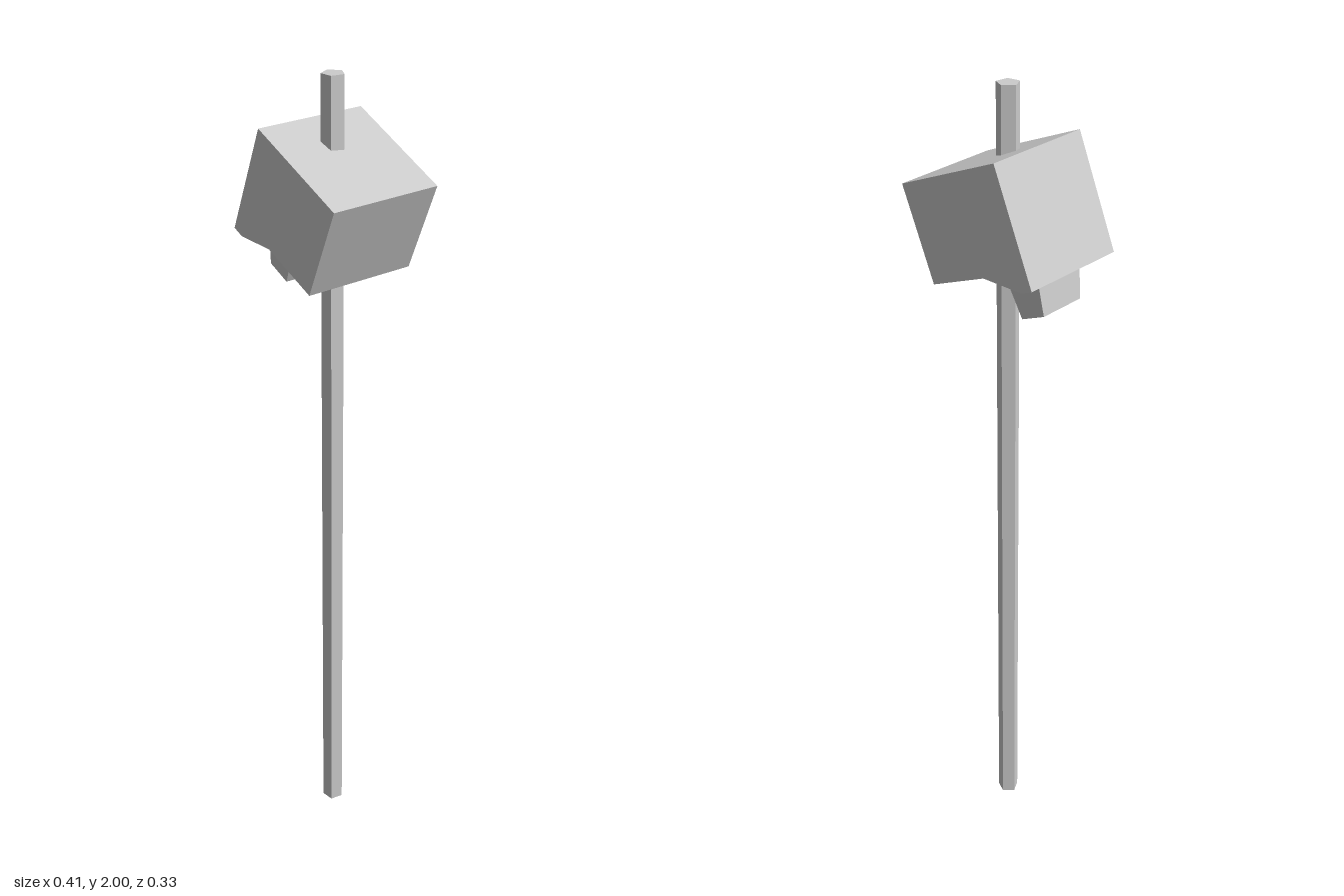
import * as THREE from 'three';

const material = new THREE.MeshStandardMaterial({ color: 0xcccccc, flatShading: true });

// Extrudes a side profile evenly about z = 0
function extrudeProfile(points, depth) {
  const shape = new THREE.Shape(points.map(([x, y]) => new THREE.Vector2(x, y)));
  const geometry = new THREE.ExtrudeGeometry(shape, { depth, bevelEnabled: false });
  return geometry.translate(0, 0, -depth / 2);
}

function addMesh(parent, name, geometry) {
  const mesh = new THREE.Mesh(geometry, material);
  mesh.name = name;
  parent.add(mesh);
  return mesh;
}

export function createModel() {
  const model = new THREE.Group();
  model.name = 'headOnPole';

  // Five-sided pole, one edge pointing to the back
  const pole = addMesh(model, 'pole', new THREE.CylinderGeometry(0.027, 0.027, 2, 5));
  pole.rotation.y = Math.PI;
  pole.position.set(0.004, 1, 0.004);

  // Tilted head, with its origin on the upper brow edge
  const head = new THREE.Group();
  head.name = 'head';
  head.position.set(-0.0815, 1.884, -0.0015 - 0.011);
  head.rotation.order = 'YXZ';
  head.rotation.y = THREE.MathUtils.degToRad(-8);
  head.rotation.z = THREE.MathUtils.degToRad(-22.5);
  model.add(head);

  // Skull block with a lower step at the face side
  addMesh(head, 'skull', extrudeProfile([
    [0, 0], [0, -0.275], [0.03, -0.275], [0.13, -0.232], [0.29, -0.23], [0.29, 0],
  ], 0.278));

  // Jaw block, narrowing towards its lower end
  const jaw = extrudeProfile([
    [0.03, -0.22], [0.064, -0.351], [0.131, -0.351], [0.134, -0.22],
  ], 0.15);
  const position = jaw.attributes.position;
  for (let i = 0; i < position.count; i++) {
    if (position.getY(i) < -0.3) position.setZ(i, position.getZ(i) * 0.83);
  }
  jaw.computeVertexNormals();
  addMesh(head, 'jaw', jaw);

  return model;
}
